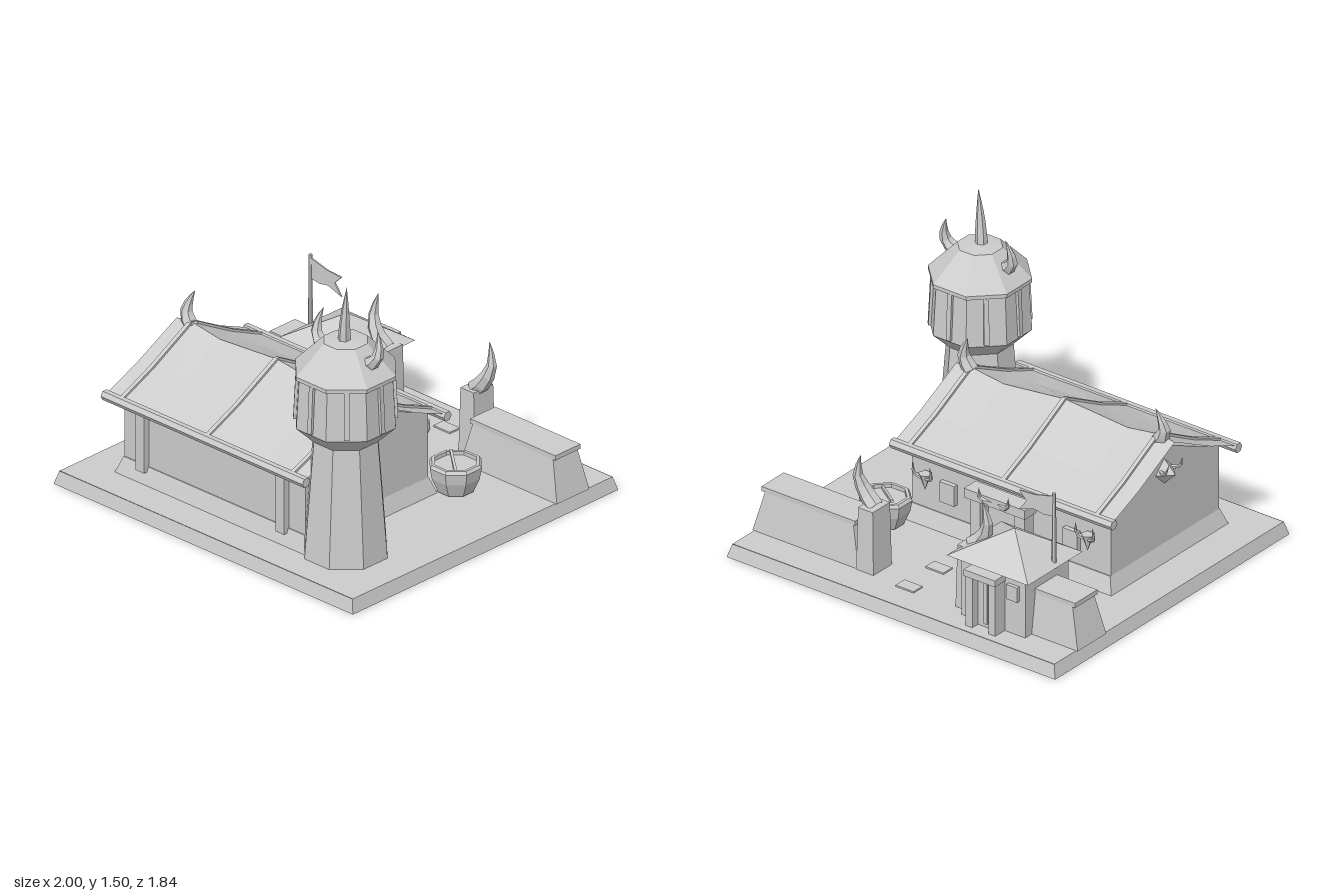
import * as THREE from 'three';

const stone = new THREE.MeshStandardMaterial({ color: 0xcccccc, flatShading: true, side: THREE.DoubleSide });
stone.name = 'plain grey';

export function createModel() {
  const root = new THREE.Group();
  root.name = 'walledCompound';

  const add = (name, geometry, x = 0, y = 0, z = 0, parent = root) => {
    const mesh = new THREE.Mesh(geometry, stone);
    mesh.name = name;
    mesh.position.set(x, y, z);
    parent.add(mesh);
    return mesh;
  };
  // box given by its extents
  const box = (name, x0, x1, y0, y1, z0, z1, parent = root) =>
    add(name, new THREE.BoxGeometry(x1 - x0, y1 - y0, z1 - z0),
      (x0 + x1) / 2, (y0 + y1) / 2, (z0 + z1) / 2, parent);
  // box whose top is pulled in by dx and dz on each side
  const taperedBox = (name, x0, x1, y0, y1, z0, z1, dx, dz, parent = root) => {
    const mesh = box(name, x0, x1, y0, y1, z0, z1, parent);
    const p = mesh.geometry.attributes.position;
    for (let i = 0; i < p.count; i++) {
      if (p.getY(i) < 0) continue;
      p.setX(i, p.getX(i) - Math.sign(p.getX(i)) * dx);
      p.setZ(i, p.getZ(i) - Math.sign(p.getZ(i)) * dz);
    }
    return mesh;
  };
  // curved spike narrowing to a point along a path
  const horn = (name, points, radius, parent = root) => {
    const curve = new THREE.CatmullRomCurve3(points.map(p => new THREE.Vector3(...p)));
    const steps = 5, sides = 6;
    const g = new THREE.TubeGeometry(curve, steps, radius, sides);
    const p = g.attributes.position, v = new THREE.Vector3();
    for (let i = 0; i <= steps; i++) {
      const c = curve.getPointAt(i / steps), k = 1 - Math.pow(i / steps, 1.6);
      for (let j = 0; j <= sides; j++) {
        const n = i * (sides + 1) + j;
        v.fromBufferAttribute(p, n).sub(c).multiplyScalar(k).add(c);
        p.setXYZ(n, v.x, v.y, v.z);
      }
    }
    return add(name, g, 0, 0, 0, parent);
  };
  // octagonal solid from [apothem, y] pairs, flats facing the axes
  const octagon = (name, profile, x, z, parent = root) => {
    const pts = profile.map(([a, y]) => new THREE.Vector2(a / Math.cos(Math.PI / 8), y));
    return add(name, new THREE.LatheGeometry(pts, 8, Math.PI / 8), x, 0, z, parent);
  };
  // square bar running between two points
  const bar = (name, a, b, size, parent = root) => {
    const A = new THREE.Vector3(...a), B = new THREE.Vector3(...b);
    const mesh = add(name, new THREE.BoxGeometry(size, size, A.distanceTo(B)), 0, 0, 0, parent);
    mesh.position.copy(A).add(B).multiplyScalar(0.5);
    mesh.lookAt(B);
    return mesh;
  };

  // Platform: open underneath
  const base = new THREE.CylinderGeometry(Math.SQRT1_2 * 0.98, Math.SQRT1_2, 0.07, 4, 1, true);
  base.rotateY(Math.PI / 4).scale(2, 1, 1.84);
  add('platformSides', base, 0, 0.035, 0);
  add('platformTop', new THREE.PlaneGeometry(1.96, 1.8).rotateX(-Math.PI / 2), 0, 0.07, 0);
  for (const z of [-0.485, -0.72]) box('pathSlab', -0.01, 0.1, 0.07, 0.078, z - 0.035, z + 0.035);

  // Hall
  const hall = new THREE.Group();
  hall.name = 'hall';
  root.add(hall);
  const midZ = 0.265;
  taperedBox('hallPlinth', -0.78, 0.49, 0.07, 0.155, midZ - 0.46, midZ + 0.46, 0.03, 0.03, hall);
  const gable = new THREE.Shape([[-0.425, 0.15], [0.425, 0.15], [0.425, 0.5], [0.28, 0.56],
    [0, 0.69], [-0.28, 0.56], [-0.425, 0.5]].map(p => new THREE.Vector2(...p)));
  const walls = new THREE.ExtrudeGeometry(gable, { depth: 1.21, bevelEnabled: false });
  add('hallWalls', walls.rotateY(Math.PI / 2), -0.75, 0, midZ, hall);

  // Sagging hide roof over three ribs
  const xs = [-0.81, -0.71, -0.52, -0.14, 0.23, 0.43, 0.52];
  const ridge = [0.725, 0.738, 0.71, 0.738, 0.695, 0.72, 0.715];
  const row = (i, t) => t === 0 ? [0, ridge[i]]
    : Math.abs(t) === 1 ? [Math.sign(t) * 0.28, 0.585 + (ridge[i] - 0.735) * 0.4]
      : [Math.sign(t) * 0.485, 0.495];
  const verts = [], index = [];
  xs.forEach((x, i) => {
    for (let t = -2; t <= 2; t++) {
      const [z, y] = row(i, t);
      verts.push(x, y, midZ + z);
      if (i && t < 2) {
        const b = i * 5 + t + 2, a = b - 5;
        index.push(a, a + 1, b + 1, a, b + 1, b);
      }
    }
  });
  const roof = new THREE.BufferGeometry();
  roof.setAttribute('position', new THREE.Float32BufferAttribute(verts, 3));
  roof.setIndex(index);
  roof.computeVertexNormals();
  add('hallRoof', roof, 0, 0, 0, hall);
  for (const i of [1, 3, 5]) {
    for (let t = -2; t < 2; t++) {
      const [z0, y0] = row(i, t), [z1, y1] = row(i, t + 1);
      bar('roofRib', [xs[i], y0, midZ + z0], [xs[i], y1, midZ + z1], 0.022, hall);
    }
  }
  for (const s of [-1, 1]) {
    const beam = new THREE.CylinderGeometry(0.027, 0.027, 1.35, 6).rotateZ(Math.PI / 2);
    add('eaveBeam', beam, -0.145, 0.485, midZ + s * 0.49, hall);
    const cx = -0.145;
    // ridge horns
    horn('ridgeHorn', [[cx + s * 0.575, 0.71, 0.26], [cx + s * 0.61, 0.77, 0.255],
      [cx + s * 0.6, 0.83, 0.245], [cx + s * 0.57, 0.895, 0.235]], 0.04, hall);
    // gable crests
    const gx = cx + s * 0.605;
    const crest = new THREE.ConeGeometry(0.068, 0.07, 4).rotateZ(-s * Math.PI / 2);
    add('gableCrest', crest, gx + s * 0.035, 0.55, 0.26, hall);
    for (const k of [-1, 1]) {
      horn('crestHorn', [[gx, 0.56, 0.26 + k * 0.03], [gx + s * 0.05, 0.57, 0.26 + k * 0.06],
        [gx + s * 0.07, 0.63, 0.26 + k * 0.05]], 0.012, hall);
    }
    // front posts
    const px = cx + s * 0.468;
    box('frontPost', px - 0.028, px + 0.028, 0.13, 0.47, 0.68, 0.725, hall);
    // doorway posts and horns
    const dx = cx + s * 0.135;
    box('doorPost', dx - 0.03, dx + 0.03, 0.07, 0.4, -0.27, -0.2, hall);
    horn('doorHorn', [[cx + s * 0.02, 0.4, -0.28], [cx + s * 0.08, 0.41, -0.3],
      [cx + s * 0.09, 0.47, -0.3]], 0.018, hall);
    // rear windows and wall trophies
    const wx = cx + s * 0.375;
    box('rearWindow', wx - 0.045, wx + 0.045, 0.23, 0.34, -0.185, -0.155, hall);
    const tx = cx + s * 0.495;
    add('wallTrophy', new THREE.ConeGeometry(0.035, 0.09, 5).rotateX(Math.PI), tx, 0.32, -0.2, hall);
    for (const k of [-1, 1]) {
      horn('trophyHorn', [[tx, 0.34, -0.2], [tx + k * 0.05, 0.36, -0.22],
        [tx + k * 0.05, 0.43, -0.23]], 0.014, hall);
    }
  }
  box('doorLintel', -0.33, 0.04, 0.38, 0.43, -0.295, -0.2, hall);
  box('hallDoor', -0.25, -0.04, 0.07, 0.38, -0.205, -0.16, hall);

  // Watchtower
  const tower = new THREE.Group();
  tower.name = 'watchtower';
  root.add(tower);
  const tx = 0.6, tz = 0.555;
  octagon('towerBody', [[0.2, 0.07], [0.155, 0.69], [0.24, 0.78], [0.226, 1.04]], tx, tz, tower);
  octagon('towerRoof', [[0.22, 1.035], [0.24, 1.04], [0.24, 1.06], [0.105, 1.21], [0, 1.22]], tx, tz, tower);
  for (let i = 0; i < 8; i++) {
    const a = i * Math.PI / 4, s = Math.sin(a), c = Math.cos(a);
    bar('towerSlat', [tx + s * 0.24, 0.79, tz + c * 0.24], [tx + s * 0.228, 1.04, tz + c * 0.228], 0.026, tower);
  }
  horn('towerSpire', [[tx, 1.2, tz + 0.01], [tx + 0.01, 1.35, tz + 0.015], [tx + 0.022, 1.505, tz + 0.015]], 0.032, tower);
  for (const s of [-1, 1]) {
    horn('towerHorn', [[tx + s * 0.14, 1.13, tz], [tx + s * 0.195, 1.16, tz - 0.005],
      [tx + s * 0.205, 1.23, tz - 0.02], [tx + s * 0.18, 1.31, tz - 0.035]], 0.038, tower);
  }

  // Cauldron with stirring stick
  octagon('cauldron', [[0, 0.07], [0.085, 0.075], [0.115, 0.15], [0.125, 0.21], [0.115, 0.225],
    [0.1, 0.225], [0.1, 0.205], [0, 0.205]], 0.53, -0.28);
  bar('stirringStick', [0.45, 0.235, -0.33], [0.6, 0.21, -0.21], 0.014);

  // Perimeter walls and gate posts
  for (const s of [-1, 1]) {
    const span = (a, b) => s > 0 ? [a, b] : [-b, -a];
    taperedBox('perimeterWall', ...span(0.345, 0.99), 0.07, 0.29, -0.73, -0.505, 0.055, 0.03);
    box('wallCap', ...span(0.385, 0.955), 0.285, 0.31, -0.705, -0.53);
    taperedBox('gatePost', ...span(0.25, 0.355), 0.07, 0.41, -0.735, -0.59, 0.008, 0.005);
    horn('gateHorn', [[s * 0.3, 0.4, -0.66], [s * 0.36, 0.46, -0.655],
      [s * 0.395, 0.55, -0.67], [s * 0.37, 0.67, -0.68]], 0.046);
  }

  // Guardhouse
  const guard = new THREE.Group();
  guard.name = 'guardhouse';
  root.add(guard);
  box('guardWalls', -0.71, -0.32, 0.07, 0.4, -0.78, -0.44, guard);
  const pyramid = new THREE.ConeGeometry(Math.SQRT1_2, 0.14, 4).rotateY(Math.PI / 4).scale(0.495, 1, 0.43);
  add('guardRoof', pyramid, -0.513, 0.465, -0.61, guard);
  for (const x of [-0.565, -0.425]) box('guardDoorPost', x - 0.02, x + 0.02, 0.07, 0.35, -0.855, -0.77, guard);
  box('guardDoorLintel', -0.59, -0.4, 0.345, 0.38, -0.865, -0.77, guard);
  box('guardDoor', -0.55, -0.44, 0.07, 0.345, -0.81, -0.77, guard);
  box('doorBar', -0.505, -0.485, 0.09, 0.33, -0.818, -0.81, guard);
  box('guardWindow', -0.675, -0.61, 0.26, 0.34, -0.8, -0.77, guard);

  // Flag
  add('flagPole', new THREE.CylinderGeometry(0.01, 0.012, 0.41, 6), -0.73, 0.58, -0.58, guard);
  const pennant = new THREE.Shape([[0, 0.66], [0.06, 0.65], [0.12, 0.66], [0.21, 0.63], [0.165, 0.69],
    [0.21, 0.735], [0.12, 0.74], [0.06, 0.755], [0, 0.77]].map(p => new THREE.Vector2(...p)));
  add('flag', new THREE.ExtrudeGeometry(pennant, { depth: 0.008, bevelEnabled: false }), -0.73, 0, -0.584, guard);

  return root;
}
